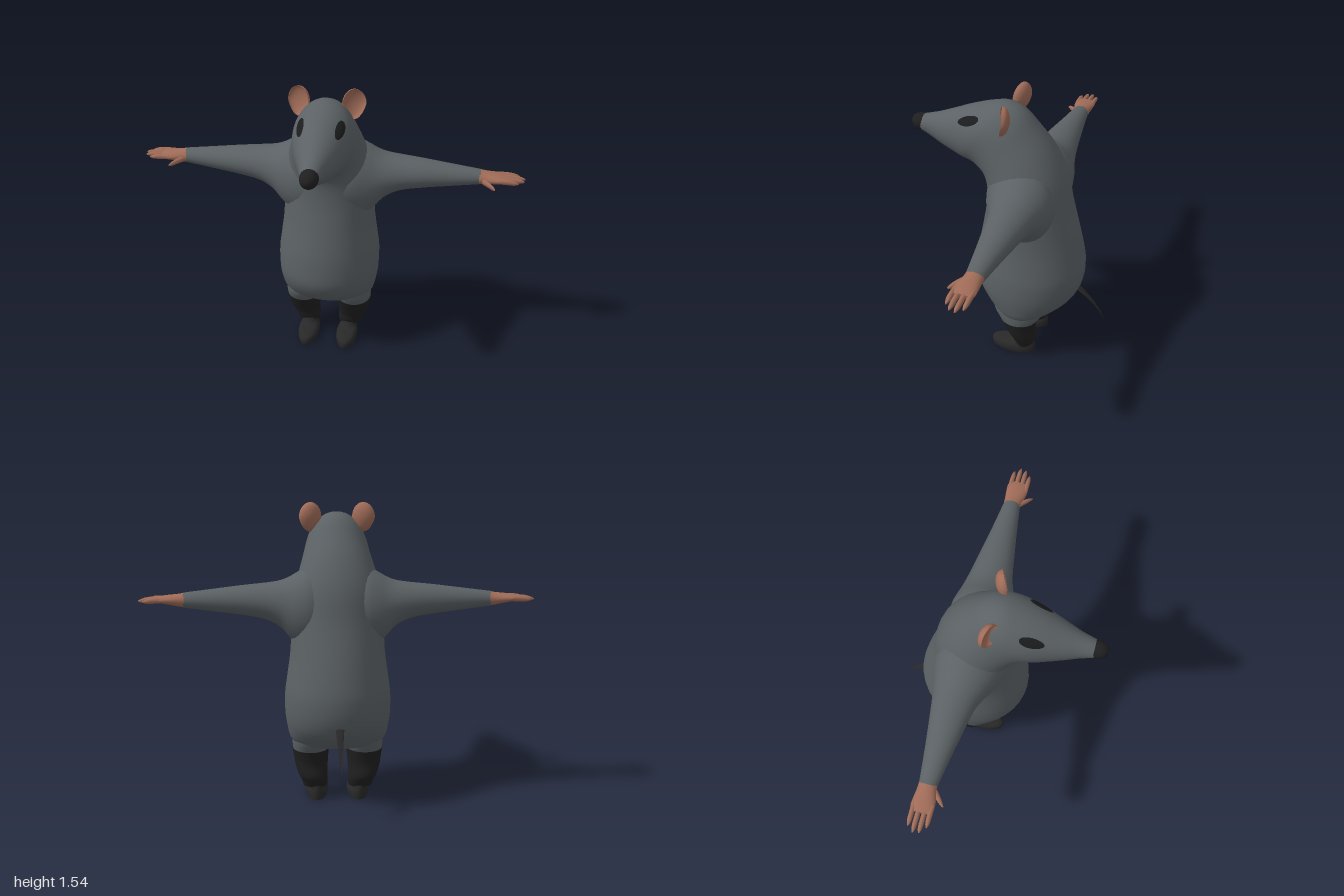
import * as THREE from 'three';

const mat = (name, color) => {
  const m = new THREE.MeshStandardMaterial({ color });
  m.name = name;
  return m;
};
const V = (x, y, z) => new THREE.Vector3(x, y, z);

// Closed skin over a list of rings, with flat caps; winding is fixed by signed volume.
function loft(rings) {
  const n = rings[0].length, pts = rings.flat(), idx = [];
  for (let r = 0; r < rings.length - 1; r++)
    for (let i = 0; i < n; i++) {
      const a = r * n + i, b = r * n + (i + 1) % n;
      idx.push(a, b, a + n, b, b + n, a + n);
    }
  [rings[0], rings[rings.length - 1]].forEach((ring, end) => {
    const c = ring.reduce((s, p) => s.add(p), V(0, 0, 0)).divideScalar(n);
    const base = pts.length;
    pts.push(...ring, c);
    for (let i = 0; i < n; i++) {
      const a = base + i, b = base + (i + 1) % n;
      if (end) idx.push(a, b, base + n);
      else idx.push(b, a, base + n);
    }
  });
  let volume = 0;
  for (let i = 0; i < idx.length; i += 3)
    volume += pts[idx[i]].dot(V(0, 0, 0).crossVectors(pts[idx[i + 1]], pts[idx[i + 2]]));
  if (volume < 0) idx.reverse();
  const g = new THREE.BufferGeometry().setFromPoints(pts);
  g.setIndex(idx);
  g.computeVertexNormals();
  return g;
}

// Loft along y from rows [y, x0, x1, z0, z1], or along x from rows [x, y0, y1, z0, z1].
function loftAxis(axis, rows, n = 20, smooth = 3) {
  const lo = new THREE.CatmullRomCurve3(rows.map(r => V(r[0], r[1], r[3])));
  const hi = new THREE.CatmullRomCurve3(rows.map(r => V(r[0], r[2], r[4])));
  const steps = (rows.length - 1) * smooth, rings = [];
  for (let s = 0; s <= steps; s++) {
    const a = lo.getPoint(s / steps), b = hi.getPoint(s / steps), ring = [];
    for (let i = 0; i < n; i++) {
      const t = i / n * Math.PI * 2;
      const p = (a.y + b.y) / 2 + (b.y - a.y) / 2 * Math.cos(t);
      const z = (a.z + b.z) / 2 + (b.z - a.z) / 2 * Math.sin(t);
      const k = (a.x + b.x) / 2;
      ring.push(axis === 'y' ? V(p, k, z) : V(k, p, z));
    }
    rings.push(ring);
  }
  return loft(rings);
}

function mirrored(geometry) {
  const g = geometry.clone().scale(-1, 1, 1);
  g.setIndex(Array.from(g.index.array).reverse());
  g.computeVertexNormals();
  return g;
}

// Trunk and head sections: front/lower z, y, back/upper z, y, half width
const SECTIONS = [
  [-0.08, 0.3, -0.12, 0.3, 0.02], [0.02, 0.302, -0.24, 0.3, 0.2],
  [0.068, 0.33, -0.285, 0.325, 0.243], [0.14, 0.41, -0.365, 0.4, 0.264],
  [0.17, 0.48, -0.4, 0.48, 0.273], [0.172, 0.58, -0.41, 0.58, 0.272],
  [0.165, 0.66, -0.4, 0.66, 0.261], [0.14, 0.8, -0.372, 0.785, 0.243],
  [0.115, 0.95, -0.325, 0.96, 0.235], [0.115, 1.07, -0.29, 1.13, 0.222],
  [0.14, 1.122, -0.222, 1.27, 0.195], [0.165, 1.136, -0.14, 1.375, 0.175],
  [0.19, 1.144, -0.06, 1.46, 0.16], [0.215, 1.15, 0.02, 1.489, 0.149],
  [0.25, 1.158, 0.1, 1.476, 0.138], [0.3, 1.175, 0.2, 1.443, 0.115],
  [0.36, 1.197, 0.3, 1.4, 0.088], [0.42, 1.225, 0.39, 1.362, 0.062],
  [0.475, 1.25, 0.475, 1.334, 0.044],
];
const LAST = SECTIONS.length - 1;
const lowCurve = new THREE.CatmullRomCurve3(SECTIONS.map(s => V(0, s[1], s[0])));
const highCurve = new THREE.CatmullRomCurve3(SECTIONS.map(s => V(s[4], s[3], s[2])));

// Point on the trunk at section number s and angle t, pushed out by a factor
function skin(s, t, out = 1) {
  const a = lowCurve.getPoint(s / LAST), b = highCurve.getPoint(s / LAST);
  const w = b.x;
  b.x = 0;
  const p = a.clone().add(b).multiplyScalar(0.5);
  p.addScaledVector(b.sub(a), 0.5 * out * Math.sin(t));
  p.x = w * out * Math.cos(t);
  return p;
}

// Oval patch lying on the head
function eyePatch() {
  const n = 24, rings = 4, pts = [skin(14.67, 0.7, 1.045)], idx = [];
  for (let r = 1; r <= rings; r++)
    for (let i = 0; i < n; i++) {
      const a = i / n * Math.PI * 2, k = r / rings;
      pts.push(skin(14.67 + 0.62 * k * Math.cos(a), 0.7 + 0.2 * k * Math.sin(a), 1.045 - 0.02 * k * k));
      const j = (i + 1) % n, q = 1 + (r - 1) * n;
      if (r === 1) idx.push(0, 1 + i, 1 + j);
      else idx.push(q - n + i, q + i, q + j, q - n + i, q + j, q - n + j);
    }
  const g = new THREE.BufferGeometry().setFromPoints(pts);
  g.setIndex(idx);
  g.computeVertexNormals();
  return g;
}

// Cupped ear: flattened ball whose front is pushed in and whose base narrows
function earGeometry() {
  const g = new THREE.SphereGeometry(1, 28, 20).rotateX(Math.PI / 2);
  const p = g.attributes.position;
  for (let i = 0; i < p.count; i++) {
    const x = p.getX(i), y = p.getY(i), z = p.getZ(i);
    const taper = y < 0 ? 1 + 0.3 * y : 1;
    p.setXYZ(i, x * 0.06 * taper, y * 0.075, z > 0 ? 0.012 - z * 0.03 : z * 0.04 + 0.006);
  }
  g.rotateX(-0.12).rotateY(0.4).translate(0.134, 1.462, -0.008);
  g.computeVertexNormals();
  return g;
}

export function createModel() {
  const fur = mat('greyFur', 0x5b6164);
  const skinTone = mat('pinkBrownSkin', 0xa06c58);
  const black = mat('blackCloth', 0x1f1f1f);
  const dark = mat('darkLeather', 0x282828);
  const patch = mat('eyeBlack', 0x1b1c1d);
  patch.side = THREE.DoubleSide;
  const model = new THREE.Group();
  const add = (name, geometry, material) => {
    const m = new THREE.Mesh(geometry, material);
    m.name = name;
    model.add(m);
  };
  const pair = (name, geometry, material) => {
    add('left' + name, geometry, material);
    add('right' + name, mirrored(geometry), material);
  };

  // Trunk, neck and head in one skin
  const rings = [];
  for (let s = 0; s <= LAST * 4; s++)
    rings.push(Array.from({ length: 36 }, (_, i) => skin(s / 4, i / 36 * Math.PI * 2)));
  add('bodyAndHead', loft(rings), fur);

  // Nose
  const nose = [[0.468, 0.045], [0.49, 0.044], [0.51, 0.038], [0.525, 0.028], [0.533, 0.015], [0.535, 0.003]];
  add('nose', loft(nose.map(([z, r]) => Array.from({ length: 20 }, (_, i) => {
    const t = i / 20 * Math.PI * 2;
    return V(r * Math.cos(t), 1.293 + r * Math.sin(t), z);
  }))), black);

  pair('Eye', eyePatch(), patch);
  pair('Ear', earGeometry(), skinTone);

  // Arms, flaring into the shoulders
  pair('Arm', loftAxis('x', [
    [0.05, 0.8, 1.22, -0.26, 0.1], [0.14, 0.805, 1.225, -0.28, 0.08],
    [0.2, 0.825, 1.198, -0.272, 0.055], [0.24, 0.86, 1.175, -0.26, 0.035],
    [0.29, 0.918, 1.155, -0.245, 0.01], [0.36, 0.957, 1.144, -0.23, -0.015],
    [0.47, 0.98, 1.133, -0.212, -0.035], [0.62, 1.0, 1.115, -0.19, -0.06],
    [0.775, 1.02, 1.096, -0.17, -0.083]], 28), fur);

  // Hands
  pair('Palm', loftAxis('x', [
    [0.765, 1.02, 1.097, -0.171, -0.082], [0.8, 1.026, 1.09, -0.172, -0.078],
    [0.84, 1.034, 1.085, -0.176, -0.068], [0.88, 1.042, 1.08, -0.178, -0.066],
    [0.905, 1.05, 1.074, -0.172, -0.072]]), skinTone);
  [[-0.163, 0.975], [-0.134, 1], [-0.105, 0.995], [-0.078, 0.965]].forEach(([z, tip], i) => {
    pair('Finger' + (i + 1), loftAxis('x', [
      [0.86, 1.048, 1.075, z - 0.012, z + 0.012], [0.92, 1.046, 1.075, z - 0.012, z + 0.012],
      [tip - 0.02, 1.046, 1.068, z - 0.01, z + 0.01], [tip, 1.052, 1.058, z - 0.003, z + 0.003]], 10), skinTone);
  });
  pair('Thumb', loftAxis('x', [
    [0.785, 1.034, 1.068, -0.115, -0.075], [0.815, 1.03, 1.06, -0.085, -0.05],
    [0.84, 1.026, 1.048, -0.055, -0.034], [0.85, 1.03, 1.038, -0.04, -0.03]], 10), skinTone);

  // Legs
  pair('Thigh', loftAxis('y', [
    [0.42, 0.03, 0.225, -0.25, 0.05], [0.33, 0.042, 0.238, -0.24, 0.04],
    [0.26, 0.05, 0.234, -0.2, 0]], 24), fur);
  pair('Trouser', loftAxis('y', [
    [0.268, 0.045, 0.238, -0.205, 0.006], [0.22, 0.05, 0.23, -0.193, -0.017],
    [0.18, 0.053, 0.223, -0.19, -0.038], [0.13, 0.055, 0.205, -0.2, -0.06],
    [0.1, 0.053, 0.19, -0.19, -0.066], [0.068, 0.055, 0.18, -0.173, -0.085]], 24), black);

  // Shoes with ankles
  pair('Shoe', loftAxis('y', [
    [0, 0.055, 0.166, -0.183, 0.066], [0.02, 0.051, 0.17, -0.185, 0.07],
    [0.042, 0.054, 0.167, -0.185, 0.064], [0.056, 0.066, 0.158, -0.183, 0.03],
    [0.064, 0.07, 0.156, -0.18, -0.05], [0.1, 0.073, 0.155, -0.172, -0.08]], 28), dark);

  // Tail
  const tail = [[-0.36, 0.47, 0.04], [-0.42, 0.423, 0.03], [-0.475, 0.368, 0.019], [-0.515, 0.315, 0.01], [-0.54, 0.268, 0.002]];
  add('tail', loft(tail.map(([z, y, r]) => Array.from({ length: 14 }, (_, i) => {
    const t = i / 14 * Math.PI * 2;
    return V(r * 0.6 * Math.cos(t), y + r * 0.75 * Math.sin(t), z + r * 0.65 * Math.sin(t));
  }))), dark);

  return model;
}
